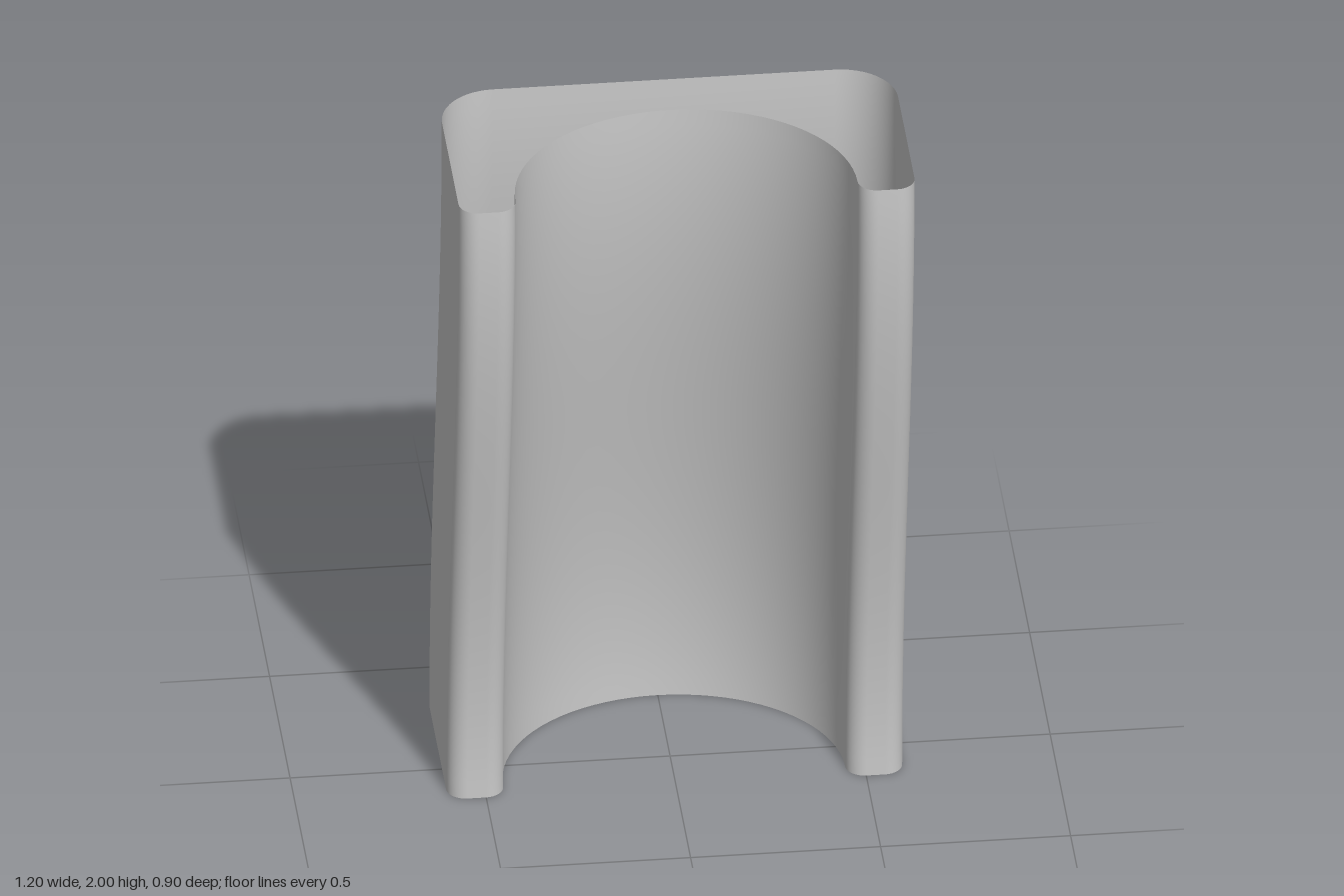
import * as THREE from 'three';

// Points of an elliptical arc in the (x, z) plane
function arc(cx, cz, rx, rz, from, to, steps, skipEnds = false) {
  const points = [];
  const trim = skipEnds ? 1 : 0;
  for (let i = trim; i <= steps - trim; i++) {
    const a = Math.PI * (from + ((to - from) * i) / steps);
    points.push([cx + rx * Math.cos(a), cz + rz * Math.sin(a)]);
  }
  return points;
}

// Closed section: rounded back, two narrow legs and a hollow arched front
function section() {
  return [
    ...arc(-0.45, -0.15, 0.15, 0.15, -0.5, -1, 12),
    ...arc(-0.55, 0.25, 0.05, 0.05, 1, 0.5, 8),
    ...arc(-0.5, 0.25, 0.05, 0.05, 0.5, 0, 8),
    ...arc(0, 0.25, 0.45, 0.4, 1, 2, 40, true),
    ...arc(0.5, 0.25, 0.05, 0.05, 1, 0.5, 8),
    ...arc(0.55, 0.25, 0.05, 0.05, 0.5, 0, 8),
    ...arc(0.45, -0.15, 0.15, 0.15, 0, -0.5, 12),
  ];
}

// Sweep the section upwards while it slides forward along a gentle S
function sweptShell(height, rows) {
  const ring = section();
  const n = ring.length;
  const positions = [];
  const indices = [];
  for (let j = 0; j <= rows; j++) {
    const t = j / rows;
    const shift = -0.15 + 0.3 * t * t * (3 - 2 * t);
    for (const [x, z] of ring) positions.push(x, height * t, z + shift);
  }
  for (let j = 0; j < rows; j++) {
    for (let i = 0; i < n; i++) {
      const a = j * n + i;
      const b = j * n + ((i + 1) % n);
      indices.push(a, b, a + n, b, b + n, a + n);
    }
  }
  const geometry = new THREE.BufferGeometry();
  geometry.setAttribute('position', new THREE.Float32BufferAttribute(positions, 3));
  geometry.setIndex(indices);
  geometry.computeVertexNormals();
  return geometry;
}

export function createModel() {
  const group = new THREE.Group();
  group.name = 'curvedChannel';
  // Thin wall, open at the top and bottom
  const material = new THREE.MeshStandardMaterial({ color: 0xcccccc, side: THREE.DoubleSide });
  const shell = new THREE.Mesh(sweptShell(2, 40), material);
  shell.name = 'sweptShell';
  group.add(shell);
  return group;
}
